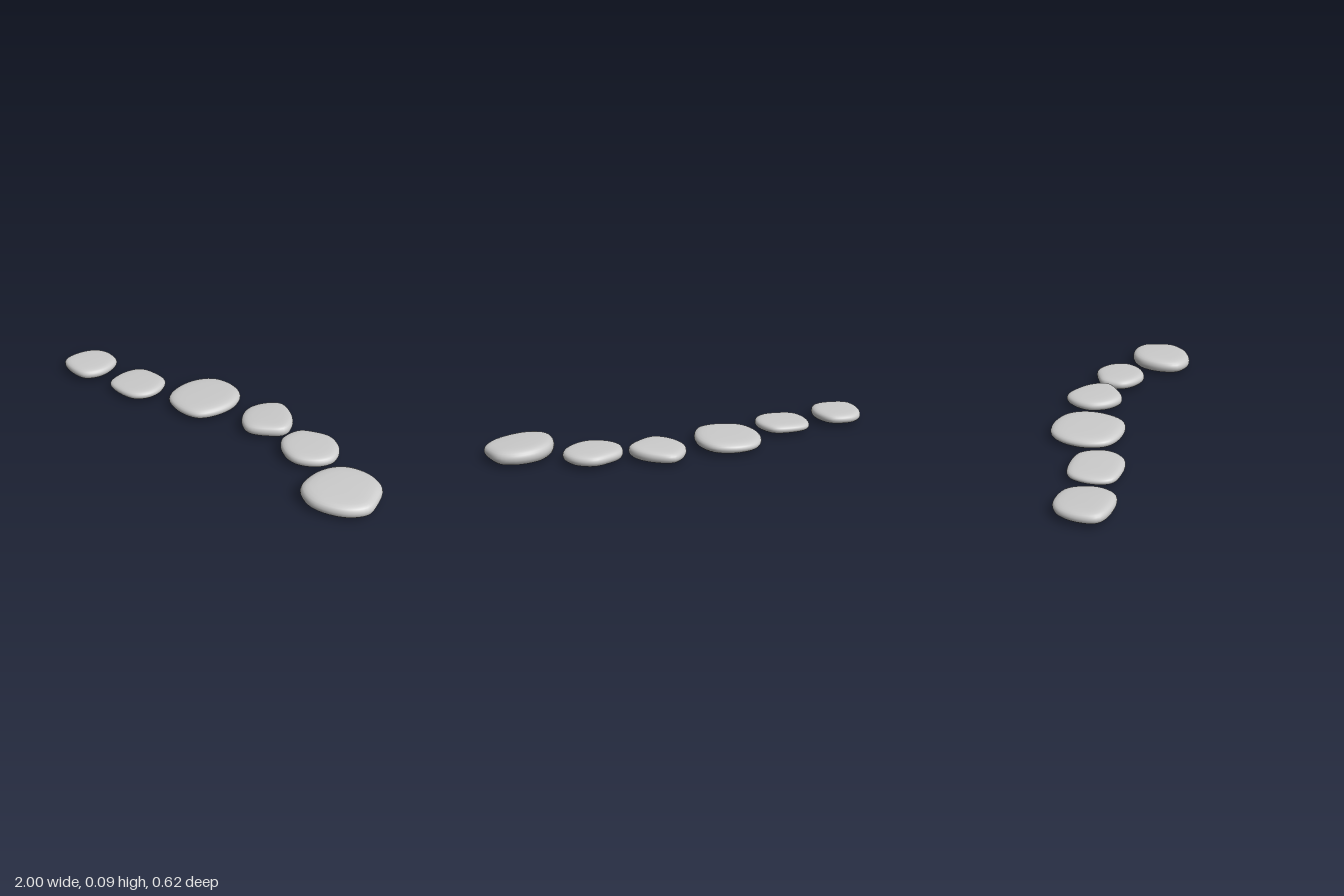
import * as THREE from 'three';

const SIDES = 48;

// Pebble cross-section from underside to top: [outline scale, height fraction]
const PROFILE = [
  [0, 0], [0.3, 0.005], [0.6, 0.03], [0.8, 0.09], [0.91, 0.18], [0.97, 0.3], [1, 0.46], [1, 0.6],
  [0.98, 0.73], [0.94, 0.83], [0.87, 0.91], [0.77, 0.96], [0.6, 0.985], [0.3, 1], [0, 1],
];

// Each stone: plan outline as [x, z] points, underside and top heights, slopes along x and z
const STONES = [
  { name: 'farRightStone', y: [0.012, 0.072], slope: [0, 0.03],
    outline: [[-0.91, 0.05], [-0.8, 0.06], [-0.75, 0.14], [-0.745, 0.22], [-0.785, 0.29], [-0.9, 0.307], [-0.98, 0.28], [-1, 0.18], [-0.97, 0.09]] },
  { name: 'rightStone', y: [0.008, 0.059], slope: [0.035, 0],
    outline: [[-0.53, -0.023], [-0.455, -0.01], [-0.403, 0.07], [-0.403, 0.145], [-0.45, 0.21], [-0.55, 0.233], [-0.645, 0.215], [-0.68, 0.11], [-0.65, 0.01]] },
  { name: 'middleRightStone', y: [0.005, 0.067], slope: [0.03, 0],
    outline: [[-0.195, -0.25], [-0.09, -0.22], [-0.037, -0.135], [-0.037, -0.015], [-0.085, 0.08], [-0.195, 0.11], [-0.31, 0.08], [-0.36, -0.015], [-0.355, -0.135], [-0.3, -0.22]] },
  { name: 'middleLeftStone', y: [0.006, 0.072], slope: [0.04, 0.01],
    outline: [[0.12, -0.312], [0.22, -0.285], [0.295, -0.22], [0.318, -0.15], [0.275, -0.09], [0.175, -0.025], [0.095, -0.06], [0.042, -0.147], [0.057, -0.243]] },
  { name: 'leftStone', y: [0.008, 0.071], slope: [0, 0],
    outline: [[0.5, -0.28], [0.59, -0.243], [0.634, -0.157], [0.605, -0.077], [0.51, -0.013], [0.415, -0.03], [0.35, -0.093], [0.357, -0.2], [0.415, -0.248]] },
  { name: 'farLeftStone', y: [0.002, 0.084], slope: [-0.035, -0.03],
    outline: [[0.853, -0.178], [0.933, -0.152], [0.98, -0.067], [0.997, 0.008], [0.938, 0.1], [0.795, 0.163], [0.692, 0.13], [0.66, 0.035], [0.682, -0.083], [0.746, -0.152]] },
];

function createStone({ name, y: [low, high], slope, outline }) {
  const curve = new THREE.CatmullRomCurve3(
    outline.map(([x, z]) => new THREE.Vector3(x, 0, z)), true, 'centripetal');
  const rim = curve.getSpacedPoints(SIDES).slice(0, SIDES);
  const box = new THREE.Box3().setFromPoints(rim);
  const centre = box.getCenter(new THREE.Vector3());
  const positions = [];
  const indices = [];

  // One vertex at each pole, a full ring of them in between
  const ringStart = PROFILE.map(([scale, t]) => {
    const start = positions.length / 3;
    for (const p of scale === 0 ? [centre] : rim) {
      const dx = (p.x - centre.x) * scale;
      const dz = (p.z - centre.z) * scale;
      // The underside stays nearly flat, the top follows the slope
      const tilt = (dx * slope[0] + dz * slope[1]) * t;
      positions.push(dx, low + (high - low) * t + tilt, dz);
    }
    return start;
  });

  // Skin the rings from the underside to the top
  const last = PROFILE.length - 1;
  for (let i = 0; i < last; i++) {
    const a = ringStart[i];
    const b = ringStart[i + 1];
    for (let j = 0; j < SIDES; j++) {
      const k = (j + 1) % SIDES;
      if (i === 0) indices.push(a, b + j, b + k);
      else if (i === last - 1) indices.push(a + j, b, a + k);
      else indices.push(a + j, b + j, a + k, a + k, b + j, b + k);
    }
  }

  const geometry = new THREE.BufferGeometry();
  geometry.setAttribute('position', new THREE.Float32BufferAttribute(positions, 3));
  geometry.setIndex(indices);
  geometry.computeVertexNormals();

  const mesh = new THREE.Mesh(geometry, new THREE.MeshStandardMaterial({ color: 0xcccccc }));
  mesh.name = name;
  mesh.position.set(centre.x, 0, centre.z);
  return mesh;
}

export function createModel() {
  const group = new THREE.Group();
  group.name = 'steppingStones';
  for (const stone of STONES) group.add(createStone(stone));
  return group;
}
